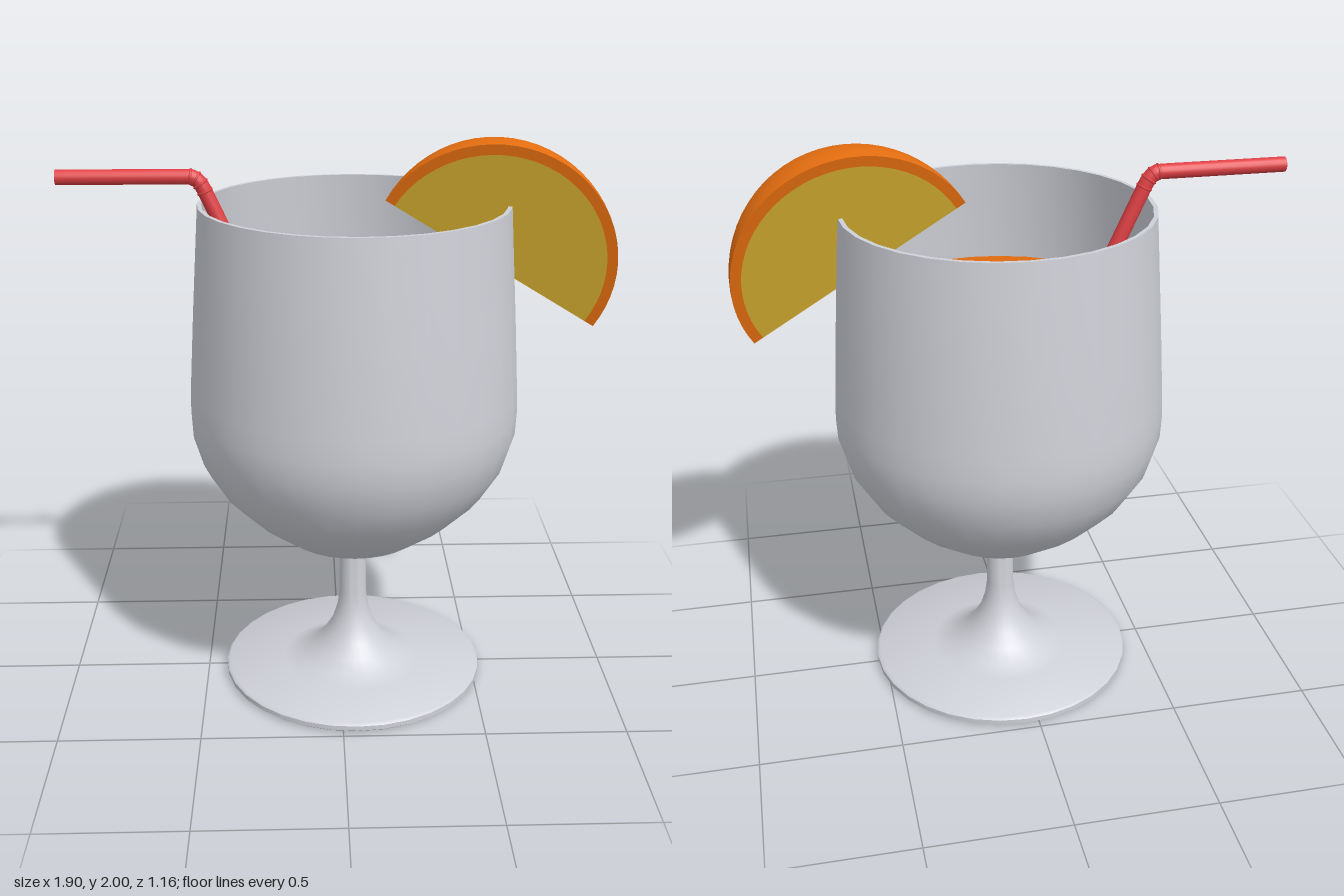
import * as THREE from 'three';
import { toCreasedNormals } from 'three/addons/utils/BufferGeometryUtils.js';

const material = (name, color, side = THREE.FrontSide) => {
  const m = new THREE.MeshStandardMaterial({ color, side });
  m.name = name;
  return m;
};

const lathe = (points, segments = 32) => toCreasedNormals(
  new THREE.LatheGeometry(points.map(([r, y]) => new THREE.Vector2(r, y)), segments), 0.7);

export function createModel() {
  const glassMat = material('glass grey', 0xcfd1d8);
  const drinkMat = material('drink orange', 0xe06a10);
  const peelMat = material('peel orange', 0xe56e10, THREE.DoubleSide);
  const fleshMat = material('flesh yellow', 0xd2ab30, THREE.DoubleSide);
  const strawMat = material('straw red', 0xe04044);

  const model = new THREE.Group();
  const add = (parent, name, geometry, mat) => {
    const mesh = new THREE.Mesh(geometry, mat);
    mesh.name = name;
    parent.add(mesh);
    return mesh;
  };

  // Drinking glass, with its axis slightly off the middle
  const glass = new THREE.Group();
  glass.name = 'glass';
  glass.position.x = 0.05;
  model.add(glass);

  add(glass, 'footAndStem', lathe([
    [0, 0], [0.47, 0], [0.48, 0.008], [0.48, 0.025], [0.47, 0.033], [0.26, 0.036],
    [0.2, 0.06], [0.15, 0.092], [0.11, 0.135], [0.077, 0.19], [0.058, 0.25],
    [0.05, 0.31], [0.05, 0.51],
  ]), glassMat);

  const outer = [
    [0, 0.5], [0.07, 0.505], [0.145, 0.522], [0.25, 0.567], [0.37, 0.655], [0.475, 0.76],
    [0.543, 0.87], [0.576, 0.98], [0.58, 1.06], [0.577, 1.14], [0.56, 1.4], [0.532, 1.785],
  ];
  const wall = 0.015;
  const inner = outer.map(([r, y], i) =>
    [Math.max(0, r - wall), i === outer.length - 1 ? y : y + wall]).reverse();
  add(glass, 'bowl', lathe([...outer, ...inner]), glassMat);

  // Drink fills the bowl up to its flat surface
  const level = 1.42;
  const fill = outer.filter(([, y]) => y < 1.3)
    .map(([r, y]) => [Math.max(0, r - wall - 0.002), y + wall + 0.002]);
  add(glass, 'drink', lathe([...fill, [0.543, level], [0, level]]), drinkMat);

  // Bent straw
  const straw = new THREE.Group();
  straw.name = 'straw';
  model.add(straw);
  const v = (x, y) => new THREE.Vector3(x, y, 0);
  const tip = v(-0.95, 1.875), bendStart = v(-0.5, 1.875);
  const bendEnd = v(-0.453, 1.825), foot = v(-0.02, 0.87);
  const bend = new THREE.QuadraticBezierCurve3(bendStart, v(-0.474, 1.872), bendEnd);
  const path = new THREE.CurvePath();
  path.add(new THREE.LineCurve3(tip, bendStart));
  path.add(bend);
  path.add(new THREE.LineCurve3(bendEnd, foot));
  const radius = 0.026;
  add(straw, 'strawTube', new THREE.TubeGeometry(path, 100, radius, 16), strawMat);
  for (const [end, next] of [[tip, bendStart], [foot, bendEnd]]) {
    const cap = add(straw, 'strawEnd', new THREE.CircleGeometry(radius, 16), strawMat);
    cap.position.copy(end);
    cap.lookAt(end.clone().multiplyScalar(2).sub(next));
  }
  for (let i = 0; i <= 3; i++) {
    const ridge = add(straw, 'bendRidge', new THREE.TorusGeometry(radius - 0.002, 0.005, 6, 16), strawMat);
    const p = bend.getPoint(i / 3);
    ridge.position.copy(p);
    ridge.lookAt(p.clone().add(bend.getTangent(i / 3)));
  }

  // Fruit wedge: a thin slice of a sphere resting across the rim
  const wedge = new THREE.Group();
  wedge.name = 'fruitWedge';
  wedge.position.set(0.518, 1.575, 0.035);
  wedge.rotation.z = THREE.MathUtils.degToRad(58.6);
  model.add(wedge);
  const R = 0.428, half = 0.218, peelInner = 0.392;
  add(wedge, 'peel', new THREE.SphereGeometry(R, 8, 32, Math.PI - half, 2 * half), peelMat);
  for (const side of [1, -1]) {
    const flesh = add(wedge, 'flesh',
      new THREE.CircleGeometry(peelInner, 32, -Math.PI / 2, Math.PI), fleshMat);
    const edge = add(wedge, 'peelEdge',
      new THREE.RingGeometry(peelInner, R, 32, 1, -Math.PI / 2, Math.PI), peelMat);
    flesh.rotation.y = edge.rotation.y = -side * half;
  }
  return model;
}
